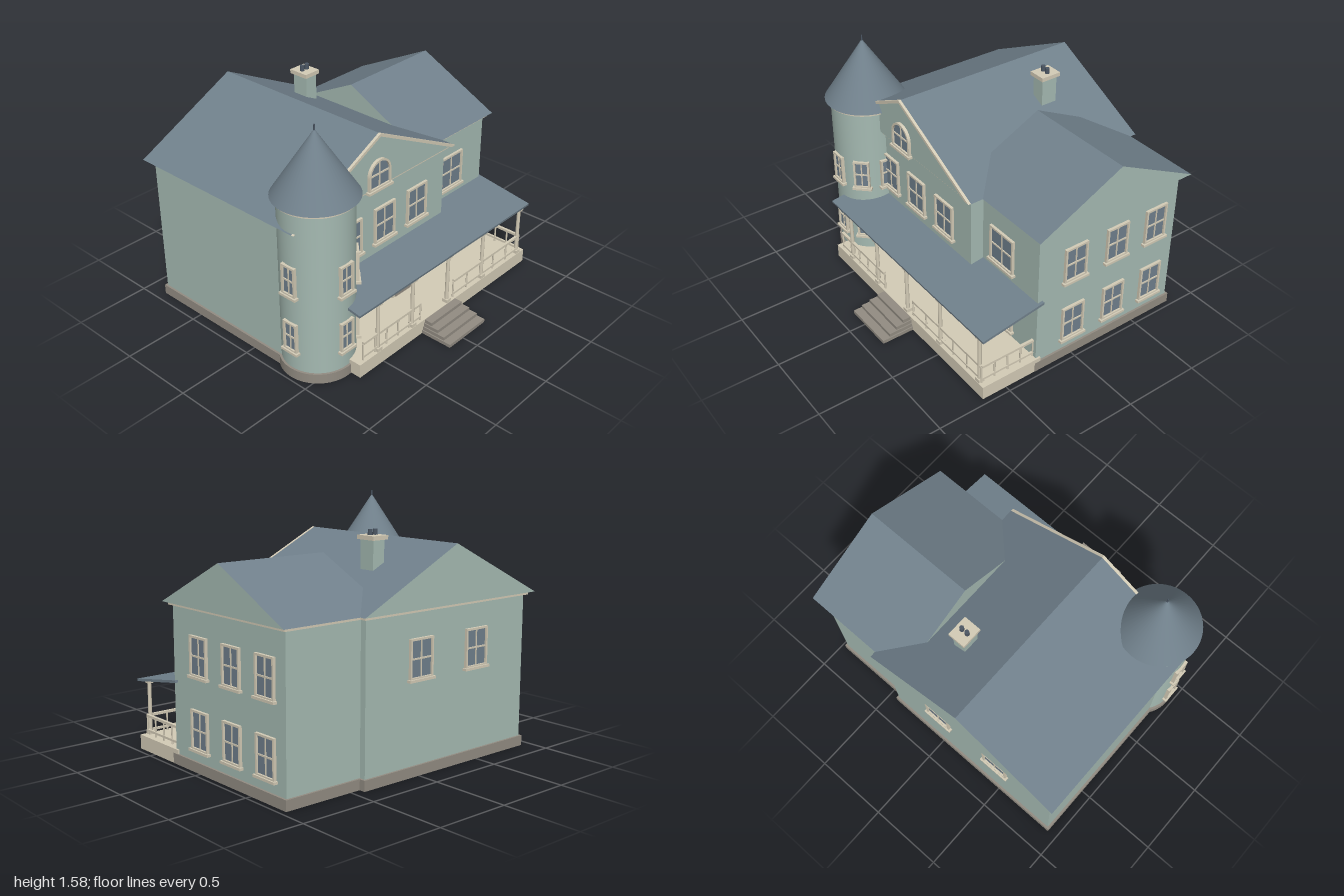
import * as THREE from 'three';

const mat = (name, color) => {
  const m = new THREE.MeshStandardMaterial({ color });
  m.name = name;
  return m;
};

export function createModel() {
  const house = new THREE.Group();
  house.name = 'house';
  const siding = mat('pale green siding', 0xa5bab2);
  const slate = mat('slate roof', 0x70808b);
  const cream = mat('cream trim', 0xd3cbb6);
  const stone = mat('grey stone', 0x928c82);
  const glass = mat('window glass', 0x6f7f8c);
  const dark = mat('dark metal', 0x4b5663);

  const add = (name, geo, m, x = 0, y = 0, z = 0, parent = house) => {
    const mesh = new THREE.Mesh(geo, m);
    mesh.name = name;
    mesh.position.set(x, y, z);
    parent.add(mesh);
    return mesh;
  };
  // box given by its minimum and maximum on each axis
  const block = (name, m, x0, x1, y0, y1, z0, z1, parent = house) =>
    add(name, new THREE.BoxGeometry(x1 - x0, y1 - y0, z1 - z0), m,
      (x0 + x1) / 2, (y0 + y1) / 2, (z0 + z1) / 2, parent);
  const cyl = (name, m, r0, r1, y0, y1, x, z, seg = 48, parent = house) =>
    add(name, new THREE.CylinderGeometry(r1, r0, y1 - y0, seg), m, x, (y0 + y1) / 2, z, parent);
  const extrude = (shape, depth) =>
    new THREE.ExtrudeGeometry(shape, { depth, bevelEnabled: false, curveSegments: 16 });

  // rectangular outline, with an optional rounded top
  const outline = (w, h, arched, Type = THREE.Shape) => {
    const s = new Type();
    s.moveTo(-w / 2, 0);
    s.lineTo(w / 2, 0);
    if (arched) {
      s.lineTo(w / 2, h - w / 2);
      s.absarc(0, h - w / 2, w / 2, 0, Math.PI, false);
    } else {
      s.lineTo(w / 2, h);
      s.lineTo(-w / 2, h);
    }
    s.closePath();
    return s;
  };

  // framed window, its base at x, y, z and its outside turned by angle
  const addWindow = (name, x, y, z, angle, w, h, arched = false) => {
    const g = new THREE.Group();
    g.name = name;
    g.position.set(x, y, z);
    g.rotation.y = angle;
    house.add(g);
    const t = 0.013;
    const frame = outline(w, h, arched);
    const hole = outline(w - 2 * t, h - 2 * t, arched, THREE.Path);
    frame.holes.push(new THREE.Path(hole.getPoints(16).map((p) => p.add(new THREE.Vector2(0, t)))));
    add('windowFrame', extrude(frame, 0.022), cream, 0, 0, -0.004, g);
    add('windowPane', extrude(outline(w - 0.01, h - 0.01, arched), 0.006), glass, 0, 0.005, 0, g);
    block('windowMullion', cream, -0.004, 0.004, t, h - t, 0, 0.011, g);
    block('windowCrossbar', cream, -w / 2 + t, w / 2 - t, h * 0.5 - 0.005, h * 0.5 + 0.005, 0, 0.012, g);
    block('windowSill', cream, -w / 2 - 0.012, w / 2 + 0.012, -0.012, 0.004, -0.004, 0.028, g);
  };

  // closed gable roof: green ends, slate slopes and underside
  const gableRoof = (name, halfSpan, rise, length) => {
    const s = new THREE.Shape();
    s.moveTo(-halfSpan, 0);
    s.lineTo(halfSpan, 0);
    s.lineTo(0, rise);
    s.closePath();
    return add(name, extrude(s, length), [siding, slate]);
  };

  // main house and side wing: footing, walls, cornice
  for (const [n, x0, x1, z0, z1] of [['main', -0.92, 0.42, -0.84, 0.36], ['wing', 0.3, 0.95, -0.8, 0.27]]) {
    const f = 0.014;
    block(n + 'Foundation', stone, x0 - f, x1 + f, 0, 0.065, z0 - f, z1 + f);
    block(n + 'Walls', siding, x0, x1, 0.065, 0.99, z0, z1);
    block(n + 'Cornice', cream, x0 - 0.02, x1 + 0.02, 0.98, 0.999, z0 - 0.02, z1 + 0.02);
  }
  gableRoof('mainRoof', 0.72, 0.355, 1.285).position.set(-0.25, 1, -0.89);
  const wingRoof = gableRoof('wingRoof', 0.58, 0.285, 0.76);
  wingRoof.position.set(0.24, 1, -0.27);
  wingRoof.rotation.y = Math.PI / 2;

  // rake boards on the front gable
  const rake = new THREE.Shape();
  [[-0.72, 0], [0, 0.355], [0.72, 0], [0.68, 0], [0, 0.335], [-0.68, 0]].forEach(([x, y], i) =>
    i ? rake.lineTo(x, y) : rake.moveTo(x, y));
  rake.closePath();
  add('gableRakeTrim', extrude(rake, 0.018), cream, -0.25, 1.002, 0.395);
  addWindow('archedWindow', -0.25, 1.0, 0.397, 0, 0.19, 0.19, true);

  // house windows
  const low = 0.14, high = 0.585, tall = 0.243;
  for (const x of [-0.455, -0.155, 0.15]) addWindow('upperFrontWindow', x, high, 0.36, 0, 0.187, tall);
  for (const x of [-0.475, -0.195, 0.285]) addWindow('lowerFrontWindow', x, low, 0.36, 0, 0.185, tall);
  for (const y of [low, high]) {
    addWindow('wingFrontWindow', 0.615, y, 0.27, 0, 0.222, tall);
    for (const z of [0, -0.32, -0.63]) addWindow('wingSideWindow', 0.95, y, z, Math.PI / 2, 0.168, tall);
  }
  for (const x of [-0.48, -0.01]) addWindow('backWindow', x, high, -0.84, Math.PI, 0.187, tall);

  // round tower with cone roof
  const tx = -0.737, tz = 0.36, tr = 0.226;
  cyl('towerFoundation', stone, 0.24, 0.24, 0, 0.065, tx, tz);
  cyl('towerWall', siding, tr, tr, 0.065, 1.14, tx, tz);
  cyl('towerCornice', cream, 0.245, 0.245, 1.135, 1.154, tx, tz);
  add('towerRoof', new THREE.ConeGeometry(0.261, 0.4, 48), slate, tx, 1.353, tz);
  cyl('towerFinial', dark, 0.006, 0.004, 1.53, 1.58, tx, tz, 10);
  for (const a of [-90, 0, 46, 90].map(THREE.MathUtils.degToRad))
    for (const y of [0.195, 0.585])
      addWindow('towerWindow', tx + Math.sin(a) * (tr - 0.003), y, tz + Math.cos(a) * (tr - 0.003), a, 0.105, 0.2);

  // front door with two panels
  block('doorFrame', cream, -0.075, 0.13, 0.09, 0.43, 0.355, 0.376);
  block('doorLeaf', stone, -0.048, 0.103, 0.09, 0.41, 0.37, 0.38);
  block('doorUpperPanel', cream, -0.038, 0.095, 0.25, 0.35, 0.378, 0.385);
  block('doorLowerPanel', cream, -0.038, 0.095, 0.125, 0.215, 0.378, 0.385);
  add('doorKnob', new THREE.SphereGeometry(0.008, 12, 8), dark, 0.088, 0.25, 0.39);

  // porch floor, roof and steps
  block('porchFloor', cream, -0.71, 0.962, 0, 0.092, 0.24, 0.67);
  const porchRoof = add('porchRoof', new THREE.BoxGeometry(1.69, 0.016, 0.445), slate, 0.125, 0.484, 0.455);
  porchRoof.rotation.x = Math.atan2(0.07, 0.44);
  for (let i = 0; i < 4; i++) {
    const half = 0.177 - i * 0.008;
    block('step', stone, 0.044 - half, 0.044 + half, i * 0.0225, (i + 1) * 0.0225, 0.64, 0.89 - i * 0.055);
  }

  // porch posts
  const pz = 0.648;
  for (const x of [-0.53, -0.21, 0.135, 0.5, 0.9]) {
    cyl('porchPost', cream, 0.013, 0.012, 0.09, 0.445, x, pz, 16);
    block('postBase', cream, x - 0.02, x + 0.02, 0.09, 0.115, pz - 0.02, pz + 0.02);
    block('postCap', cream, x - 0.02, x + 0.02, 0.425, 0.446, pz - 0.02, pz + 0.02);
  }

  // railings: two rails with spaced balusters, running along local x
  const railing = (name, x, z, length, count, angle) => {
    const g = new THREE.Group();
    g.name = name;
    g.position.set(x, 0, z);
    g.rotation.y = angle;
    house.add(g);
    block('topRail', cream, 0, length, 0.207, 0.223, -0.009, 0.009, g);
    block('bottomRail', cream, 0, length, 0.112, 0.126, -0.007, 0.007, g);
    for (let i = 0; i <= count; i++)
      cyl('baluster', cream, 0.006, 0.006, 0.092, 0.21, (i * length) / count, 0, 8, g);
  };
  railing('leftRailing', -0.66, pz, 0.53, 5, 0);
  railing('rightRailing', 0.2, pz, 0.72, 5, 0);
  railing('sideRailing', 0.92, pz, 0.378, 4, Math.PI / 2);

  // chimney with cap and pots
  block('chimneyStack', siding, 0.0, 0.088, 1.1, 1.37, -0.54, -0.43);
  block('chimneyCap', cream, -0.016, 0.102, 1.366, 1.392, -0.556, -0.416);
  for (const x of [0.022, 0.062]) cyl('chimneyPot', dark, 0.015, 0.014, 1.39, 1.427, x, -0.485, 16);

  return house;
}
